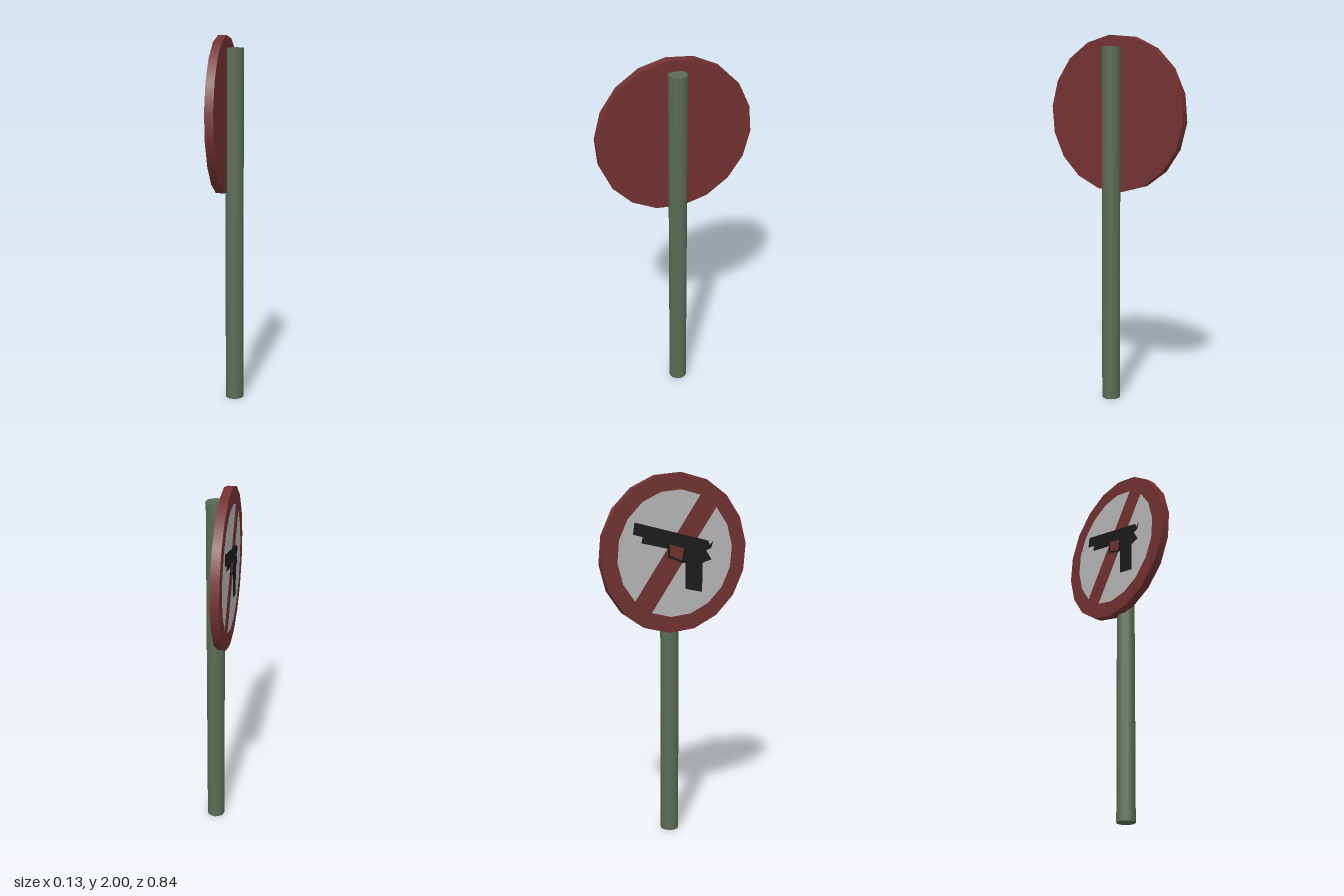
import * as THREE from 'three';

const DEG = Math.PI / 180;
const SIDES = 18;
const STEP = 360 / SIDES;

function part(name, geometry, color) {
  const mesh = new THREE.Mesh(geometry, new THREE.MeshStandardMaterial({ color }));
  mesh.name = name;
  return mesh;
}

const toPoints = (pairs) => pairs.map(([x, y]) => new THREE.Vector2(x, y));

export function createModel() {
  const model = new THREE.Group();
  model.name = 'prohibitionSign';

  // Post
  const post = part('post', new THREE.CylinderGeometry(0.05, 0.05, 1.936, 12), 0x5a6c54);
  post.position.set(0.017, 0.968, 0);
  model.add(post);

  // Sign group: built facing local +z, then turned to face -x
  const sign = new THREE.Group();
  sign.name = 'sign';
  sign.position.set(-0.02, 1.577, 0);
  sign.rotation.y = -Math.PI / 2;
  model.add(sign);

  // Disc with its corners at 85 degrees plus multiples of 20
  const thickness = 0.046;
  const disc = new THREE.CylinderGeometry(0.424, 0.424, thickness, SIDES, 1, false, -5 * DEG);
  disc.rotateX(Math.PI / 2).translate(0, 0, thickness / 2);
  sign.add(part('disc', disc, 0x743232));

  // Two pale half panels, leaving the red rim and diagonal bar between them
  for (const [name, start] of [['upperPanel', 65], ['lowerPanel', 245]]) {
    const corners = [];
    for (let i = 0; i <= 8; i++) {
      const a = (start + i * STEP) * DEG;
      corners.push(new THREE.Vector2(0.337 * Math.cos(a), 0.337 * Math.sin(a)));
    }
    const panel = part(name, new THREE.ShapeGeometry(new THREE.Shape(corners)), 0xb8b8b8);
    panel.position.z = thickness + 0.0008;
    sign.add(panel);
  }

  // Pistol silhouette with an open trigger guard
  const outline = new THREE.Shape(toPoints([
    [-0.239, 0.174], [0.19, 0.062], [0.2, 0.04], [0.222, 0.06], [0.208, 0.022],
    [0.178, 0.01], [0.211, -0.04], [0.156, -0.056], [0.156, -0.213], [0.055, -0.19],
    [0.055, -0.05], [0.037, -0.05], [-0.05, -0.015], [-0.048, 0.029], [-0.2, 0.066],
    [-0.193, 0.097], [-0.248, 0.112],
  ]));
  outline.holes.push(new THREE.Path(toPoints([
    [-0.038, 0.052], [-0.038, -0.006], [0.034, -0.036], [0.045, 0.028],
  ])));
  const pistol = part('pistolSilhouette', new THREE.ShapeGeometry(outline), 0x1c1c1c);
  pistol.position.z = thickness + 0.0016;
  sign.add(pistol);

  return model;
}
